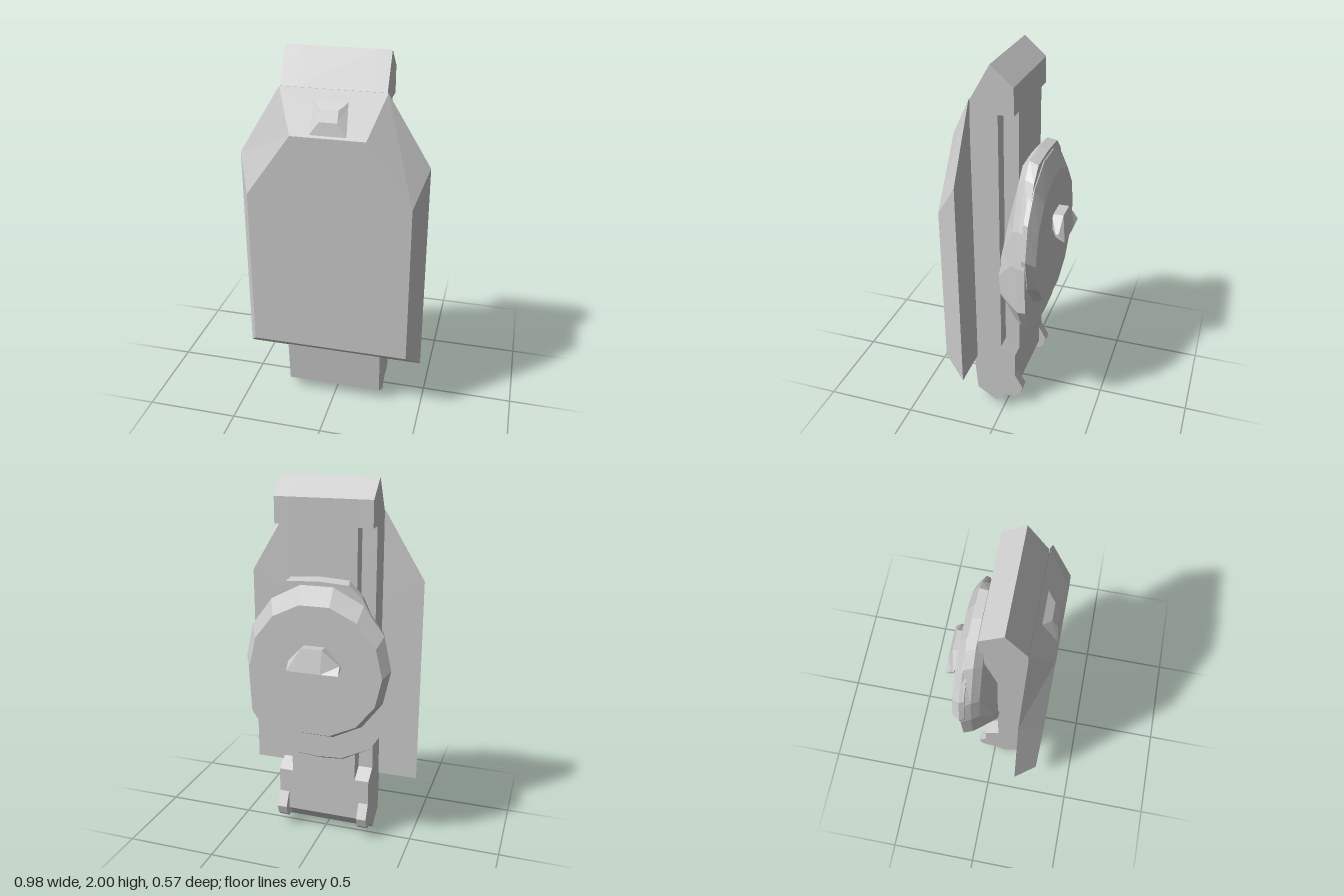
import * as THREE from 'three';

const material = new THREE.MeshStandardMaterial({ color: 0xcccccc, flatShading: true });

function addMesh(parent, name, geometry) {
  const mesh = new THREE.Mesh(geometry, material);
  mesh.name = name;
  parent.add(mesh);
  return mesh;
}

// Closed solid through rings of [x, y, z] points, capped at both ends
function loft(rings) {
  const pos = [];
  const tri = (a, b, c) => pos.push(...a, ...b, ...c);
  const n = rings[0].length;
  for (let r = 0; r < rings.length - 1; r++) {
    for (let i = 0; i < n; i++) {
      const j = (i + 1) % n;
      tri(rings[r][i], rings[r][j], rings[r + 1][j]);
      tri(rings[r][i], rings[r + 1][j], rings[r + 1][i]);
    }
  }
  const cap = (ring, flip) => {
    const c = [0, 1, 2].map((k) => ring.reduce((s, p) => s + p[k], 0) / n);
    for (let i = 0; i < n; i++) {
      const a = ring[i], b = ring[(i + 1) % n];
      if (flip) tri(c, b, a); else tri(c, a, b);
    }
  };
  cap(rings[0], true);
  cap(rings[rings.length - 1], false);
  // A negative volume means the faces point inward, so swap the winding
  let volume = 0;
  const a = new THREE.Vector3(), b = new THREE.Vector3(), c = new THREE.Vector3();
  for (let i = 0; i < pos.length; i += 9) {
    a.fromArray(pos, i); b.fromArray(pos, i + 3); c.fromArray(pos, i + 6);
    volume += a.dot(b.cross(c));
  }
  if (volume < 0) {
    for (let i = 0; i < pos.length; i += 9) {
      for (let k = 0; k < 3; k++) {
        [pos[i + 3 + k], pos[i + 6 + k]] = [pos[i + 6 + k], pos[i + 3 + k]];
      }
    }
  }
  const geometry = new THREE.BufferGeometry();
  geometry.setAttribute('position', new THREE.Float32BufferAttribute(pos, 3));
  geometry.computeVertexNormals();
  return geometry;
}

// Side profile of [z, y] points extruded from x0 to x1
function sideExtrude(profile, x0, x1) {
  const shape = new THREE.Shape(profile.map(([z, y]) => new THREE.Vector2(z, y)));
  const geometry = new THREE.ExtrudeGeometry(shape, { depth: x1 - x0, bevelEnabled: false });
  return geometry.rotateY(-Math.PI / 2).translate(x1, 0, 0);
}

// Half outline from top to bottom, mirrored to a closed loop
function mirrorLoop(half) {
  const inner = half.filter(([x]) => x > 0).reverse();
  return [...half, ...inner.map(([x, y]) => [-x, y])];
}

export function createModel() {
  const model = new THREE.Group();
  model.name = 'model';

  // Spine: full middle block, side blocks with a long notch at the back
  const spine = new THREE.Group();
  spine.name = 'spine';
  model.add(spine);
  const front = [[0.06, 0], [0.17, 0.07], [0.19, 0.32], [0.165, 1.82], [0.06, 2], [-0.055, 1.9]];
  const notch = [[-0.055, 1.76], [0.025, 1.76], [0.025, 0.4], [-0.055, 0.35]];
  const heel = [[-0.055, 0.105]];
  const hook = [[-0.055, 0.21], [-0.1, 0.13], [-0.085, 0.08], [-0.055, 0.055], [0.02, 0.055], [0.02, 0.21]];
  addMesh(spine, 'spineCore', sideExtrude([...front, ...heel], -0.185, 0.185));
  for (const side of [-1, 1]) {
    const label = side > 0 ? 'left' : 'right';
    const span = (a, b) => (side > 0 ? [a, b] : [-b, -a]);
    addMesh(spine, label + 'Rail', sideExtrude([...front, ...notch, ...heel], ...span(0.185, 0.265)));
    addMesh(spine, label + 'Hook', sideExtrude(hook, ...span(0.21, 0.265)));
  }

  // Bevelled front plate
  const plateRing = (half, z) => mirrorLoop(half).map(([x, y]) => [x, y, z]);
  addMesh(model, 'frontPlate', loft([
    plateRing([[0.27, 1.82], [0.49, 1.46], [0.49, 0.3]], 0.168),
    plateRing([[0.19, 1.61], [0.425, 1.28], [0.425, 0.4]], 0.285),
  ]));

  // Small raised boss on the sloping top of the plate
  addMesh(model, 'plateBoss', loft([
    [[-0.105, 1.785, 0.176], [0.105, 1.785, 0.176], [0.105, 1.605, 0.282], [-0.105, 1.605, 0.282]],
    [[-0.045, 1.74, 0.236], [0.045, 1.74, 0.236], [0.045, 1.685, 0.266], [-0.045, 1.685, 0.266]],
  ]));

  // Rear shell: one egg-shaped outline, resized for every depth
  const outline = mirrorLoop([
    [0, 1], [0.43, 0.99], [0.62, 0.92], [0.92, 0.69], [1, 0.5],
    [0.97, 0.23], [0.75, 0.09], [0.35, 0.01], [0, 0],
  ]);
  const shellRing = ([z, rx, y0, y1]) => outline.map(([x, t]) => [x * rx, y0 + t * (y1 - y0), z]);
  addMesh(model, 'rearShell', loft([
    [0.04, 0.26, 0.68, 1.04],
    [0.005, 0.29, 0.61, 1.2],
    [-0.06, 0.34, 0.51, 1.47],
    [-0.1, 0.37, 0.485, 1.51],
    [-0.15, 0.395, 0.515, 1.495],
  ].map(shellRing)));

  // Rounded disc standing proud of the shell
  const discRing = ([z, rx, y0, y1]) => Array.from({ length: 14 }, (_, i) => {
    const a = ((i + 0.5) / 14) * Math.PI * 2;
    return [Math.sin(a) * rx, (y0 + y1) / 2 + Math.cos(a) * (y1 - y0) / 2, z];
  });
  addMesh(model, 'rearDisc', loft([
    [-0.13, 0.39, 0.63, 1.49],
    [-0.155, 0.4, 0.635, 1.48],
    [-0.2, 0.365, 0.66, 1.385],
  ].map(discRing)));

  // Finger tab on the disc, lofted across its width
  const tabEnd = [[-0.235, 1.085], [-0.25, 1.09], [-0.283, 1.045], [-0.262, 1.055], [-0.235, 1.07]];
  const tabMid = [[-0.19, 1.165], [-0.255, 1.165], [-0.285, 1.045], [-0.25, 1.09], [-0.19, 1.09]];
  const tabRing = (profile, x) => profile.map(([z, y]) => [x, y, z]);
  addMesh(model, 'fingerTab', loft([
    tabRing(tabEnd, -0.155), tabRing(tabMid, -0.06), tabRing(tabMid, 0.055), tabRing(tabEnd, 0.125),
  ]));

  return model;
}
